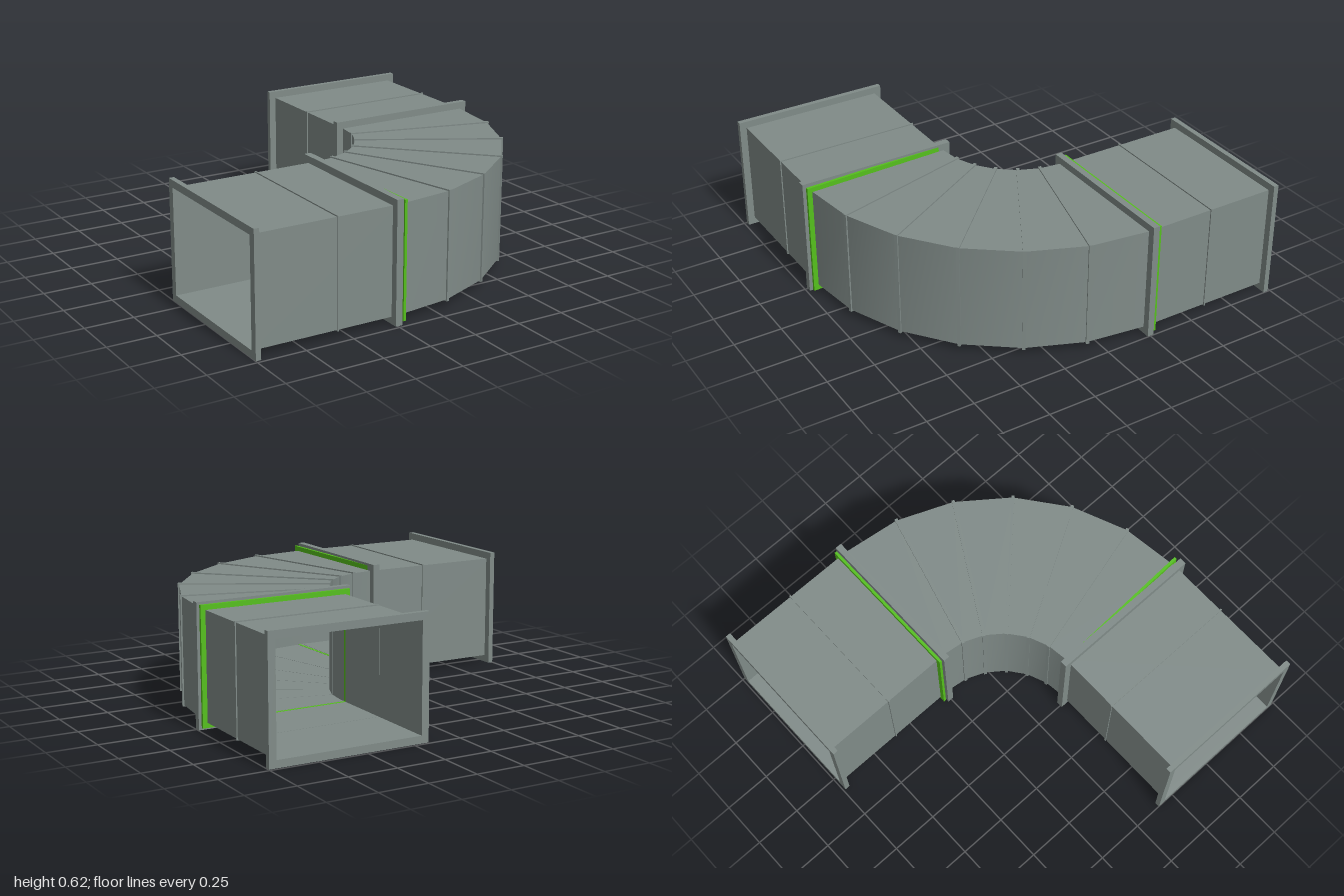
import * as THREE from 'three';

const STEP = Math.PI / 12;            // elbow is mitred every 15 degrees
const CX = -0.225, CZ = -0.238;       // bend centre
const R = 0.8075;                     // centreline radius
const W = 0.756, H = 0.546, MID = 0.31; // duct width, height, centre height

// Station on the centreline: position plus the angle of its outward radius
const bend = (a, along = 0) => ({
  x: CX + R * Math.sin(a) + along * Math.cos(a),
  z: CZ + R * Math.cos(a) - along * Math.sin(a),
  a,
});

// Open rectangular duct lofted through stations, smooth along and sharp at the corners
function duct(name, stations, material) {
  const pos = [], index = [];
  const corners = [[-1, 1], [1, 1], [1, -1], [-1, -1]];
  for (let side = 0; side < 4; side++) {
    stations.forEach((s, i) => {
      const base = pos.length / 3;
      for (const [u, v] of [corners[side], corners[(side + 1) % 4]]) {
        pos.push(s.x + u * W / 2 * Math.sin(s.a), MID + v * H / 2, s.z + u * W / 2 * Math.cos(s.a));
      }
      if (i < stations.length - 1) {
        index.push(base, base + 1, base + 2, base + 1, base + 3, base + 2);
      }
    });
  }
  const geo = new THREE.BufferGeometry();
  geo.setAttribute('position', new THREE.Float32BufferAttribute(pos, 3));
  geo.setIndex(index);
  geo.computeVertexNormals();
  const mesh = new THREE.Mesh(geo, material);
  mesh.name = name;
  return mesh;
}

// Rectangular collar around the duct, standing out by `lip`
function collar(name, station, lip, depth, material) {
  const rect = (Type, w, h) => new Type([
    new THREE.Vector2(-w / 2, -h / 2), new THREE.Vector2(w / 2, -h / 2),
    new THREE.Vector2(w / 2, h / 2), new THREE.Vector2(-w / 2, h / 2),
  ]);
  const shape = rect(THREE.Shape, W + lip * 2, H + lip * 2);
  shape.holes.push(rect(THREE.Path, W - 0.002, H - 0.002));
  const geo = new THREE.ExtrudeGeometry(shape, { depth, bevelEnabled: false });
  geo.translate(0, 0, -depth / 2);
  const mesh = new THREE.Mesh(geo, material);
  mesh.name = name;
  mesh.position.set(station.x, MID, station.z);
  mesh.rotation.y = station.a - Math.PI / 2;
  return mesh;
}

export function createModel() {
  const metal = new THREE.MeshStandardMaterial({ color: 0x808b88, side: THREE.DoubleSide });
  metal.name = 'grey sheet metal';
  const green = new THREE.MeshStandardMaterial({ color: 0x55c01c });
  green.name = 'green gasket';

  const group = new THREE.Group();
  group.name = 'ductElbow';
  const END = Math.PI / 2;

  // Straight sections at each end of the bend
  group.add(duct('rightDuct', [bend(0, -0.773), bend(0)], metal));
  group.add(duct('backDuct', [bend(END), bend(END, 0.748)], metal));

  // Six-segment elbow
  const stations = [];
  for (let i = 0; i <= 6; i++) stations.push(bend(i * STEP));
  group.add(duct('elbow', stations, metal));

  // Seams between elbow segments
  for (let i = 1; i < 6; i++) {
    group.add(collar('elbowSeam' + i, bend(i * STEP), 0.007, 0.016, metal));
  }

  // Seams halfway along the straight sections
  group.add(collar('rightSeam', bend(0, -0.33), 0.006, 0.008, metal));
  group.add(collar('backSeam', bend(END, 0.367), 0.006, 0.008, metal));

  // Flanges at the open ends and at the joints
  group.add(collar('rightEndFlange', bend(0, -0.7615), 0.037, 0.027, metal));
  group.add(collar('rightJointFlange', bend(0, -0.018), 0.037, 0.036, metal));
  group.add(collar('backJointFlange', bend(END, 0.015), 0.037, 0.034, metal));
  group.add(collar('backEndFlange', bend(END, 0.7365), 0.037, 0.027, metal));

  // Green gaskets, the right one sitting slightly askew
  const askew = bend(0, 0.006);
  askew.a = 0.037;
  group.add(collar('rightGasket', askew, 0.025, 0.014, green));
  group.add(collar('backGasket', bend(END, 0.045), 0.025, 0.014, green));

  return group;
}
